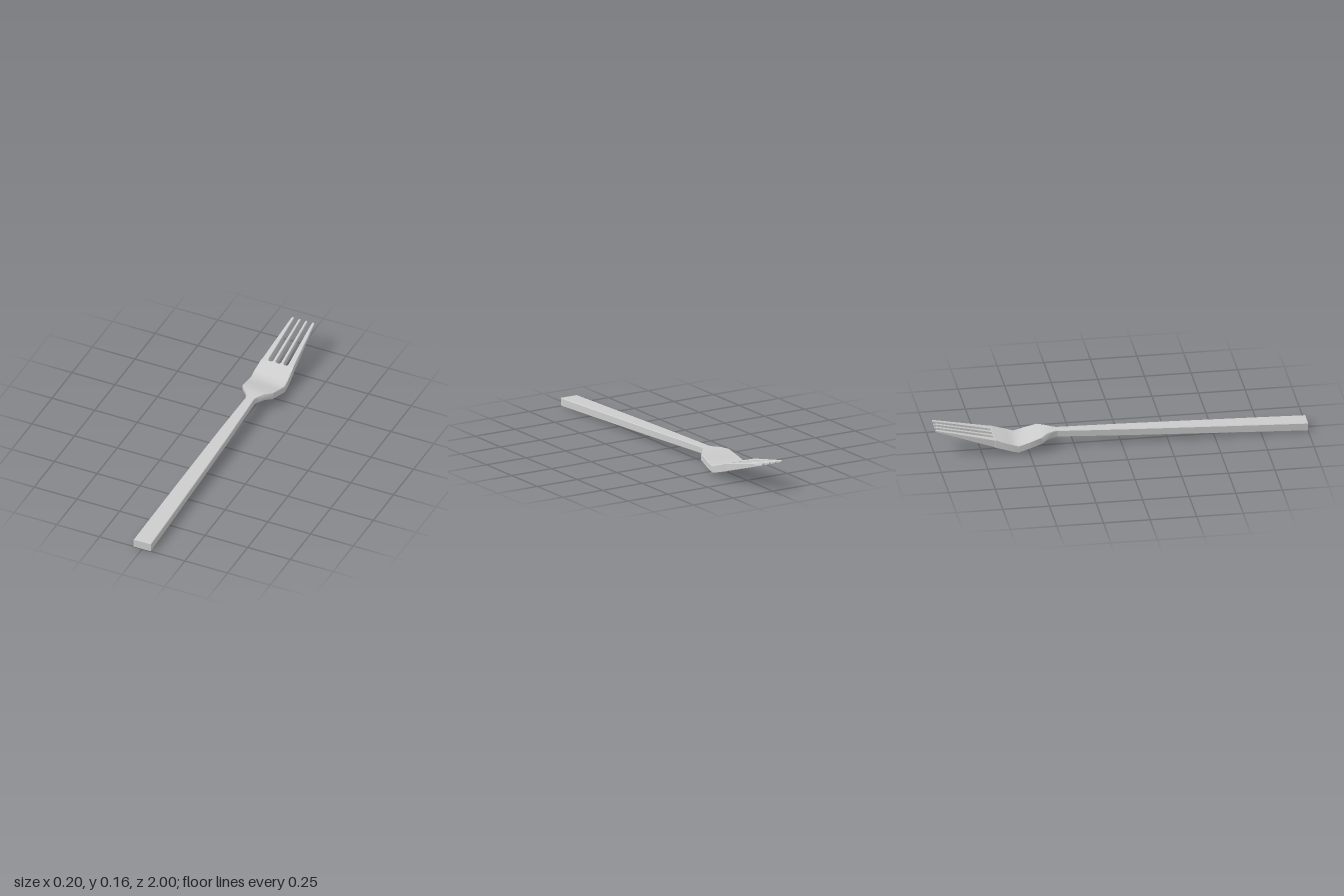
import * as THREE from 'three';
import { toCreasedNormals } from 'three/addons/utils/BufferGeometryUtils.js';

// Side profile along the length: [z, underside y, upper y]
const PROFILE = [
  [1, 0.002, 0.047], [-0.34, 0.054, 0.092], [-0.4, 0.055, 0.094], [-0.435, 0.048, 0.088],
  [-0.56, 0.012, 0.052], [-0.6, 0.022, 0.066], [-0.68, 0.047, 0.092], [-1, 0.15, 0.163],
];

function heightAt(z) {
  let i = 0;
  while (i < PROFILE.length - 2 && z < PROFILE[i + 1][0]) i++;
  const [z0, b0, t0] = PROFILE[i], [z1, b1, t1] = PROFILE[i + 1];
  const k = (z - z0) / (z1 - z0);
  return [b0 + (b1 - b0) * k, t0 + (t1 - t0) * k];
}

// Lofts bevelled rectangles through stations [z, xMin, xMax, bevel], running towards -z
function bar(stations, capFront, capBack) {
  const pos = [], idx = [], n = 8;
  for (const [z, l, r, c] of stations) {
    const [b, t] = heightAt(z);
    for (const [x, y] of [[l + c, b], [r - c, b], [r, b + c], [r, t - c],
      [r - c, t], [l + c, t], [l, t - c], [l, b + c]]) pos.push(x, y, z);
  }
  for (let i = 0; i < stations.length - 1; i++) {
    for (let j = 0; j < n; j++) {
      const a = i * n + j, b = i * n + (j + 1) % n;
      idx.push(a, a + n, b + n, a, b + n, b);
    }
  }
  const last = (stations.length - 1) * n;
  for (let j = 1; j < n - 1; j++) {
    if (capFront) idx.push(0, j, j + 1);
    if (capBack) idx.push(last, last + j + 1, last + j);
  }
  const g = new THREE.BufferGeometry();
  g.setAttribute('position', new THREE.Float32BufferAttribute(pos, 3));
  g.setIndex(idx);
  return toCreasedNormals(g, 0.7);
}

export function createModel() {
  const group = new THREE.Group();
  const material = new THREE.MeshStandardMaterial({ color: 0xcccccc });
  const add = (name, geometry) => {
    const mesh = new THREE.Mesh(geometry, material);
    mesh.name = name;
    group.add(mesh);
  };
  const symmetric = list => list.map(([z, w, c = 0.003]) => [z, -w, w, c]);

  // Tapering handle
  add('handle', bar(symmetric([
    [1, 0.051], [0.75, 0.048], [0.5, 0.044], [0.25, 0.04], [0, 0.035], [-0.2, 0.029], [-0.34, 0.024],
  ]), true, false));

  // Neck flaring into the bent head
  add('head', bar(symmetric([
    [-0.34, 0.024], [-0.36, 0.031], [-0.4, 0.058], [-0.435, 0.088], [-0.5, 0.096],
    [-0.56, 0.1], [-0.6, 0.1], [-0.64, 0.097], [-0.68, 0.093, 0.0005],
  ]), false, true));

  // Tines: each widens at its root to form the rounded slot ends
  const slotR = 0.014, rootZ = -0.68;
  const tines = [
    { name: 'innerTine', root: [0, 0.044], base: [0.015, 0.031], tip: [0.013, 0.026] },
    { name: 'outerTine', root: [0.044, 0.093], base: [0.057, 0.091], tip: [0.052, 0.067] },
  ];
  for (const { name, root, base, tip } of tines) {
    const rows = [];
    for (let i = 0; i <= 6; i++) {
      const a = (i / 6) * Math.PI / 2, k = 1 - Math.cos(a);
      // quarter-round fillet easing from the root width to the tine width
      const f = Math.sqrt(1 - (1 - k) * (1 - k));
      rows.push([rootZ - slotR * k, root[0] + (base[0] - root[0]) * f,
        root[1] + (base[1] - root[1]) * f, 0.0005 + 0.0025 * k]);
    }
    const z0 = rootZ - slotR;
    for (const k of [0.33, 0.66, 0.985]) {
      rows.push([z0 + (-1 - z0) * k, base[0] + (tip[0] - base[0]) * k,
        base[1] + (tip[1] - base[1]) * k, 0.003]);
    }
    rows.push([-1, tip[0] + 0.001, tip[1] - 0.001, 0.004]);
    const mirrored = rows.map(([z, l, r, c]) => [z, -r, -l, c]);
    add(name + 'Left', bar(rows, false, true));
    add(name + 'Right', bar(mirrored, false, true));
  }
  return group;
}
